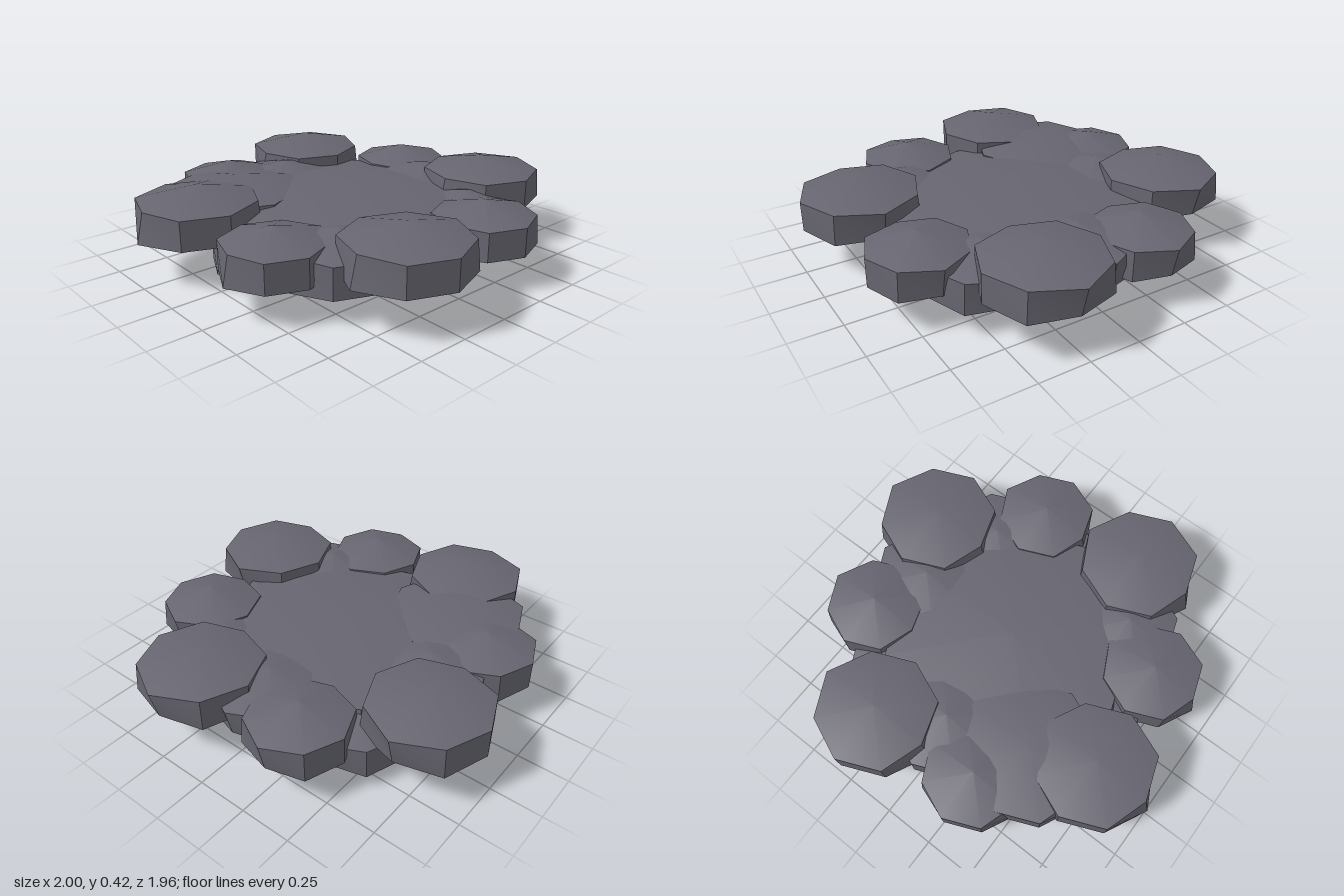
import * as THREE from 'three';
import { toCreasedNormals } from 'three/addons/utils/BufferGeometryUtils.js';

const slate = new THREE.MeshStandardMaterial({ color: 0x666570 });
slate.name = 'slate grey';

// Squashed eight-sided puff: a domed top, a slightly skewed side band and a domed base
function puff(name, x, y, z, radius, halfHeight) {
  const geo = new THREE.SphereGeometry(1, 8, 3);
  const pos = geo.attributes.position;
  for (let i = 0; i < pos.count; i++) {
    const px = pos.getX(i), py = pos.getY(i), pz = pos.getZ(i);
    const ring = Math.hypot(px, pz);
    if (ring < 0.1) {
      pos.setXYZ(i, 0, Math.sign(py) * halfHeight, 0);
      continue;
    }
    const cos = px / ring, sin = pz / ring;
    let scale = 1;
    if (Math.abs(cos) > 0.9) scale += 0.06 * Math.sign(py) * Math.sign(cos); // left and right corners lean
    else if (cos > 0.5 && py < 0) scale += 0.05; // lower diagonal corners stand out
    pos.setXYZ(i, cos * radius * scale, py * halfHeight, sin * radius * scale);
  }
  const mesh = new THREE.Mesh(toCreasedNormals(geo, 0.5), slate);
  mesh.name = name;
  mesh.position.set(x, y, z);
  return mesh;
}

export function createModel() {
  const group = new THREE.Group();
  group.name = 'cloud';

  // Broad middle
  group.add(puff('centrePuff', 0, 0.205, 0, 0.63, 0.165));

  // Outer ring: large and medium puffs alternate, repeated every quarter turn
  for (let k = 0; k < 4; k++) {
    const turn = k * Math.PI / 2;
    const large = turn + 0.383, medium = turn + 1.175;
    group.add(puff('largePuff', 0.742 * Math.cos(large), 0.285, 0.742 * Math.sin(large), 0.292, 0.145));
    group.add(puff('mediumPuff', 0.7 * Math.cos(medium), 0.24, 0.7 * Math.sin(medium), 0.243, 0.14));
  }

  // Lower ring filling the gaps: x, y, z, radius, half height
  const lower = [
    [0.54, 0.22, 0, 0.27, 0.14],
    [0, 0.22, -0.51, 0.27, 0.14],
    [-0.51, 0.16, 0, 0.24, 0.13],
    [0, 0.16, 0.51, 0.24, 0.13],
    [0.41, 0.143, -0.41, 0.23, 0.138],
    [-0.4, 0.25, -0.4, 0.34, 0.14],
    [-0.41, 0.2, 0.41, 0.25, 0.15],
    [0.41, 0.19, 0.41, 0.26, 0.145],
  ];
  for (const p of lower) group.add(puff('lowerPuff', ...p));

  // Seat the lowest point on the ground
  const box = new THREE.Box3().setFromObject(group);
  for (const mesh of group.children) mesh.position.y -= box.min.y;
  return group;
}
